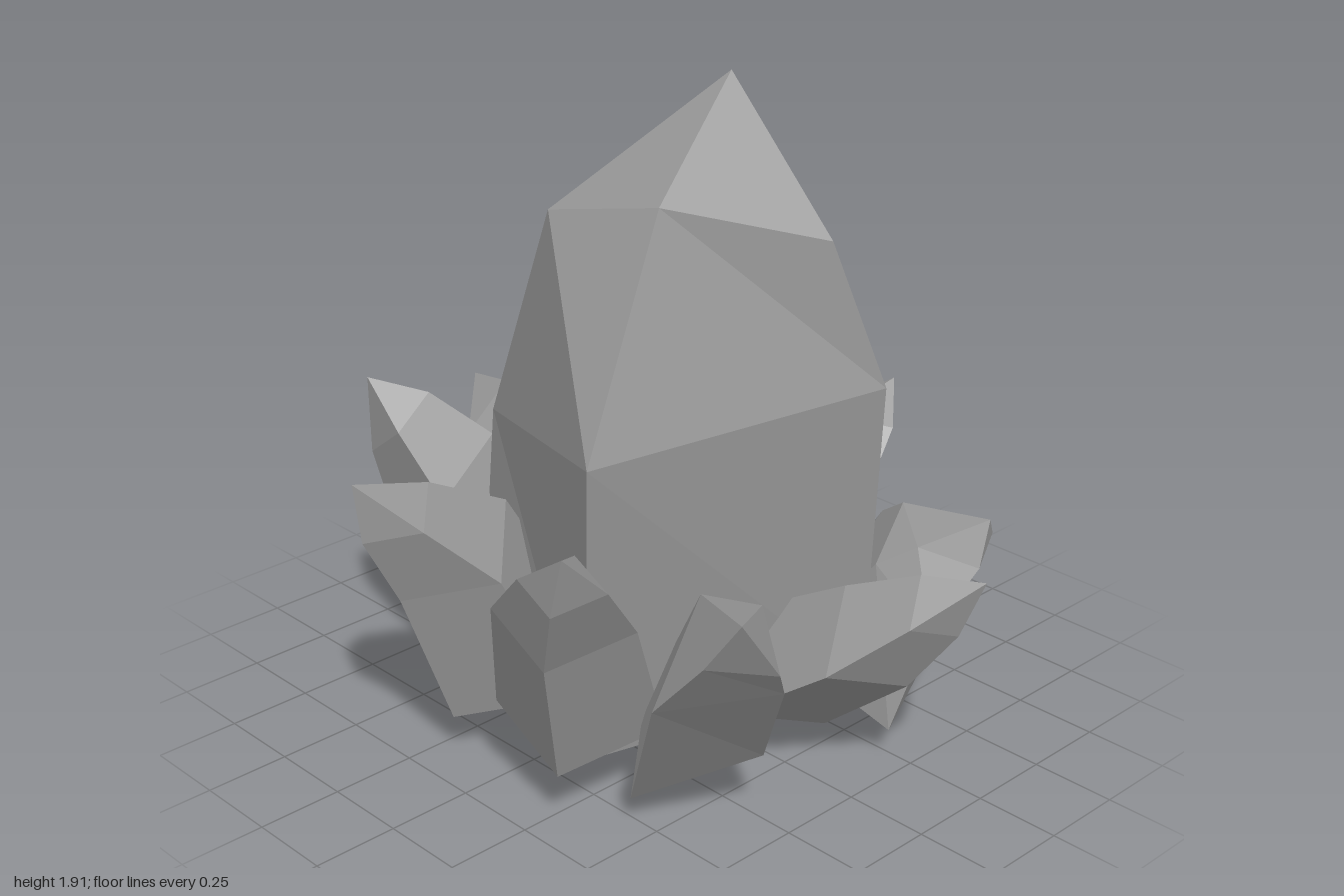
import * as THREE from 'three';

const material = new THREE.MeshStandardMaterial({
  color: 0x969696, flatShading: true, side: THREE.DoubleSide,
});
const V = (p) => new THREE.Vector3(...p);

// Facets between four-cornered rings, closed by a tip and open underneath
function shard(name, rings, tip) {
  const points = [];
  rings.forEach((ring, r) => {
    const next = rings[r + 1];
    ring.forEach((a, i) => {
      const j = (i + 1) % ring.length;
      if (next) points.push(a, ring[j], next[i], ring[j], next[j], next[i]);
      else points.push(a, ring[j], tip);
    });
  });
  const geometry = new THREE.BufferGeometry().setFromPoints(points);
  geometry.computeVertexNormals();
  const mesh = new THREE.Mesh(geometry, material);
  mesh.name = name;
  return mesh;
}

// Irregular crystal from its corner points: base, shoulder, crown, tip
function irregular(name, rings, tip) {
  return shard(name, rings.map((ring) => ring.map(V)), V(tip));
}

// Four corners of a diamond cross-section around a centre
function diamond(centre, u, v, scale) {
  return [[u, 1], [v, 1], [u, -1], [v, -1]].map(([d, s]) =>
    centre.clone().addScaledVector(d, s * scale));
}

// Leaning crystal: base, shoulder and crown rings below a skewed tip
function crystal(name, base, mid, tip, u, v) {
  const [b, m, t, du, dv] = [base, mid, tip, u, v].map(V);
  // Keep the corners anticlockwise around the axis so facets face outwards
  if (du.clone().cross(dv).dot(t.clone().sub(b)) < 0) dv.negate();
  return shard(name, [
    diamond(b, du, dv, 1.2),
    diamond(m, du, dv, 1),
    diamond(m.clone().lerp(t, 0.58), du, dv, 0.6),
  ], t);
}

export function createModel() {
  const group = new THREE.Group();
  group.name = 'crystalCluster';

  // Large central crystal
  group.add(irregular('centralCrystal', [
    [[-0.45, 0.01, 0.32], [0.28, 0.14, 0.55], [0.54, 0.17, -0.27], [-0.24, 0.08, -0.58]],
    [[-0.39, 0.89, 0.29], [0.34, 1.03, 0.59], [0.58, 1.08, -0.28], [-0.21, 0.97, -0.64]],
    [[-0.1, 1.56, 0.32], [0.25, 1.63, 0.25], [0.48, 1.5, -0.16], [-0.12, 1.58, -0.55]],
  ], [0.16, 1.91, -0.1]));

  // Two broad crystals with uneven sections
  group.add(irregular('frontLeftOuterCrystal', [
    [[0.43, 0.08, 0.53], [0.67, 0.21, 0.27], [0.46, 0.28, 0.12], [0.36, 0.25, 0.42]],
    [[0.66, 0.5, 0.67], [0.86, 0.53, 0.4], [0.65, 0.62, 0.26], [0.52, 0.56, 0.45]],
    [[0.82, 0.68, 0.65], [0.9, 0.62, 0.46], [0.74, 0.72, 0.36], [0.63, 0.75, 0.47]],
  ], [0.91, 0.82, 0.61]));
  group.add(irregular('backLeftCrystal', [
    [[0.69, 0.09, -0.22], [0.44, 0.13, -0.77], [0.16, 0.25, -0.55], [0.3, 0.2, -0.2]],
    [[0.74, 0.38, -0.32], [0.61, 0.52, -0.69], [0.4, 0.58, -0.5], [0.56, 0.54, -0.29]],
    [[0.79, 0.55, -0.46], [0.76, 0.62, -0.55], [0.5, 0.65, -0.47], [0.65, 0.6, -0.36]],
  ], [0.78, 0.68, -0.51]));

  // Other small crystals: base, shoulder, tip, two half-diagonals
  const small = [
    ['frontCrystal', [-0.17, 0.23, 0.42], [-0.2, 0.62, 0.6], [-0.24, 0.9, 0.9], [0.2, -0.03, 0], [0, -0.09, 0.19]],
    ['frontLeftInnerCrystal', [0.2, 0.23, 0.5], [0.3, 0.61, 0.64], [0.5, 0.92, 0.82], [-0.14, 0.03, 0.13], [0.09, -0.06, 0.15]],
    ['leftCrystal', [0.47, 0.28, -0.04], [0.74, 0.46, -0.09], [1.0, 0.67, -0.22], [0, 0.05, -0.2], [-0.09, 0.13, 0.03]],
    ['backCrystal', [0.03, 0.25, -0.48], [0.03, 0.55, -0.62], [0.09, 0.79, -0.9], [0.21, 0, 0], [0, -0.06, -0.2]],
    ['backRightCrystal', [-0.29, 0.2, -0.36], [-0.48, 0.38, -0.52], [-0.73, 0.51, -0.76], [0.16, 0.05, -0.16], [0.08, 0.17, 0.06]],
    ['rightCrystal', [-0.42, 0.25, -0.04], [-0.7, 0.47, -0.1], [-1.0, 0.7, -0.14], [0, 0.05, -0.2], [-0.04, -0.19, 0.03]],
    ['frontRightCrystal', [-0.46, 0.34, 0.24], [-0.56, 0.62, 0.34], [-0.71, 0.95, 0.49], [0.14, 0.02, 0.12], [-0.09, -0.15, 0.11]],
  ];
  for (const spec of small) group.add(crystal(...spec));

  return group;
}
